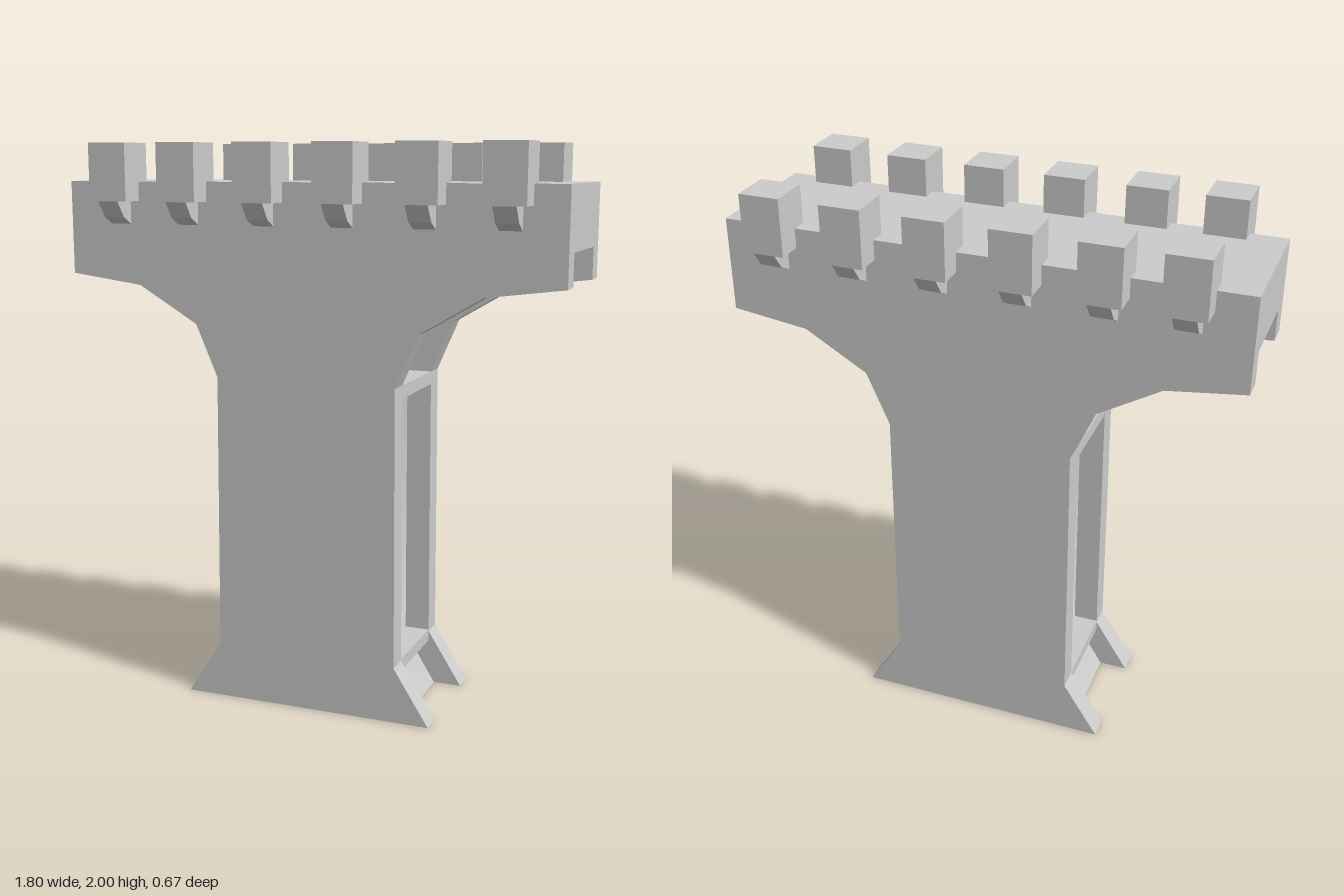
import * as THREE from 'three';
import { toCreasedNormals } from 'three/addons/utils/BufferGeometryUtils.js';

const stone = new THREE.MeshStandardMaterial({ color: 0xcccccc });
stone.name = 'stone';

function part(name, geometry, parent) {
  const mesh = new THREE.Mesh(geometry, stone);
  mesh.name = name;
  parent.add(mesh);
  return mesh;
}

// Mirrors a half outline (bottom to top, on +x) and extrudes it between two depths.
function slab(half, z0, z1) {
  const mirrored = half.map(([x, y]) => [-x, y]).reverse();
  const shape = new THREE.Shape([...half, ...mirrored].map(([x, y]) => new THREE.Vector2(x, y)));
  return new THREE.ExtrudeGeometry(shape, { depth: z1 - z0, bevelEnabled: false }).translate(0, 0, z0);
}

export function createModel() {
  const model = new THREE.Group();
  model.name = 'bridgePier';

  // Outer walls with flared foot and wide bracketed top
  const wall = [[0.463, 0], [0.336, 0.2], [0.33, 1.19], [0.41, 1.375], [0.63, 1.505], [0.9, 1.54], [0.9, 1.868]];
  part('frontWall', slab(wall, 0.162, 0.243), model);
  part('backWall', slab(wall, -0.243, -0.162), model);

  // Recessed core with smoothly shaded sides
  const core = [[0.36, 0], [0.245, 0.185], [0.24, 1.21], [0.33, 1.45], [0.58, 1.61], [0.9, 1.652], [0.9, 1.868]];
  part('core', toCreasedNormals(slab(core, -0.162, 0.162), 0.75), model);

  // Cross bars closing the channel above and below the shaft
  for (const side of [-1, 1]) {
    for (const [y0, y1, outer] of [[0.163, 0.206, 0.336], [1.143, 1.19, 0.33]]) {
      const bar = part('crossBar', new THREE.BoxGeometry(outer - 0.2, y1 - y0, 0.324), model);
      bar.position.set(side * (outer + 0.2) / 2, (y0 + y1) / 2, 0);
    }
  }

  // Battlements, each carried by a small angled corbel
  const block = new THREE.BoxGeometry(0.143, 0.2, 0.15).translate(0, 1.9, 0.259);
  const profile = new THREE.Shape(
    [[0.2, 1.72], [0.243, 1.72], [0.292, 1.745], [0.333, 1.8], [0.2, 1.8]].map(([z, y]) => new THREE.Vector2(z, y)));
  const corbel = new THREE.ExtrudeGeometry(profile, { depth: 0.077, bevelEnabled: false })
    .translate(0, 0, -0.0385).rotateY(-Math.PI / 2);
  for (const x of [-0.698, -0.433, -0.148, 0.139, 0.426, 0.712]) {
    for (const turn of [0, Math.PI]) {
      const merlon = new THREE.Group();
      merlon.name = turn ? 'backMerlon' : 'frontMerlon';
      part('merlonBlock', block, merlon);
      part('corbel', corbel, merlon);
      merlon.position.x = x;
      merlon.rotation.y = turn;
      model.add(merlon);
    }
  }
  return model;
}
